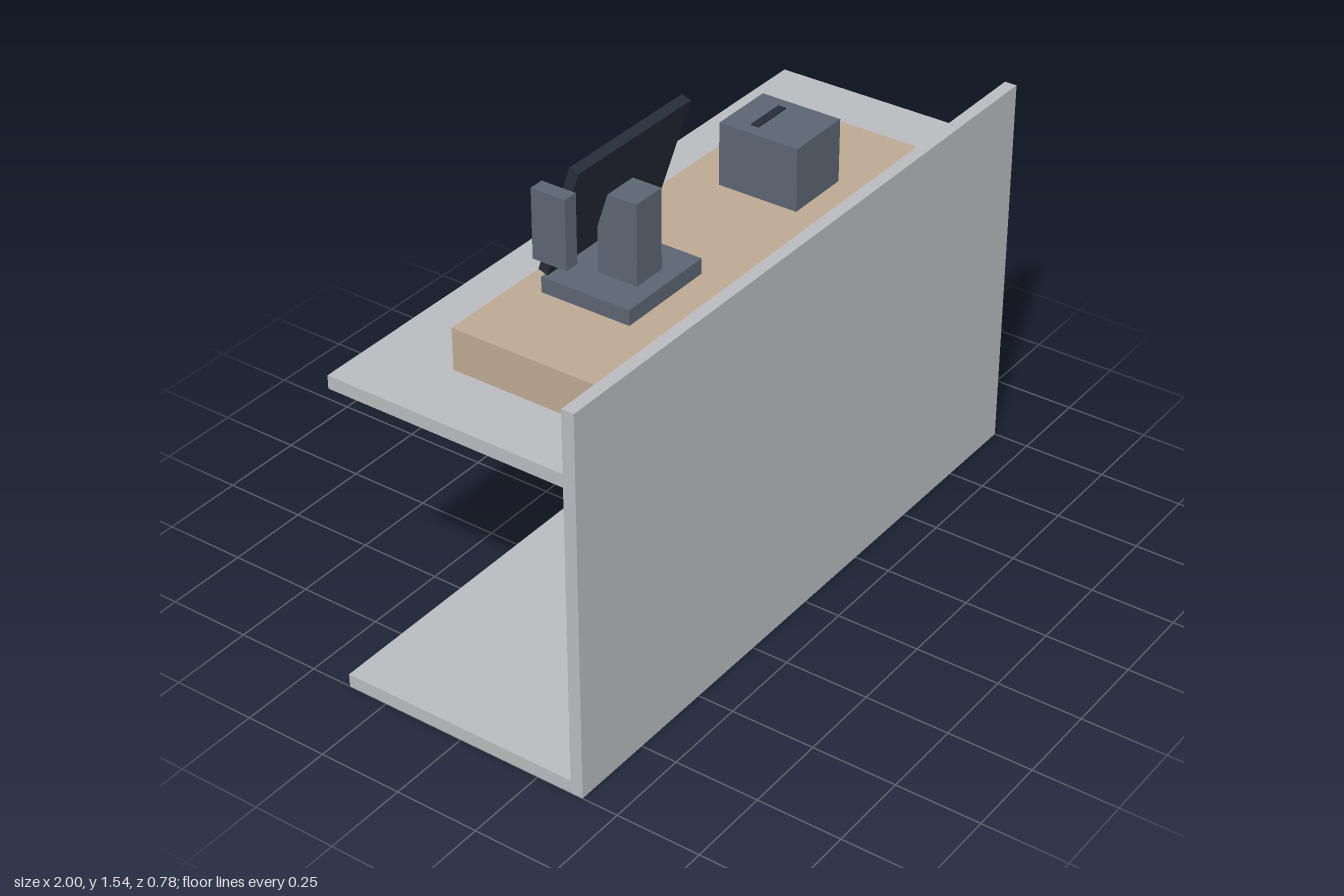
import * as THREE from 'three';

const mat = (name, color) => {
  const m = new THREE.MeshStandardMaterial({ color });
  m.name = name;
  return m;
};

export function createModel() {
  const root = new THREE.Group();
  root.name = 'receptionDesk';
  const grey = mat('panelGrey', 0xbabbbe);
  const wood = mat('lightWood', 0xbda992);
  const slate = mat('slate', 0x5b6673);
  const dark = mat('darkScreen', 0x272d39);

  // Box given by its extents along x, y and z
  const box = (name, material, [x0, x1], [y0, y1], [z0, z1], parent = root) => {
    const mesh = new THREE.Mesh(new THREE.BoxGeometry(x1 - x0, y1 - y0, z1 - z0), material);
    mesh.position.set((x0 + x1) / 2, (y0 + y1) / 2, (z0 + z1) / 2);
    mesh.name = name;
    parent.add(mesh);
    return mesh;
  };
  const group = (name) => {
    const g = new THREE.Group();
    g.name = name;
    root.add(g);
    return g;
  };

  // Desk body, open at the back and on one side
  const full = [-1, 1], back = -0.374, front = 0.392, inner = 0.355;
  const body = group('deskBody');
  box('basePanel', grey, full, [0, 0.04], [back, front], body);
  box('deskTop', grey, full, [0.933, 0.972], [back, front], body);
  box('frontPanel', grey, full, [0.04, 0.933], [inner, front], body);
  box('counterScreen', grey, full, [0.972, 1.155], [inner, front], body);
  box('sidePanel', grey, [0.963, 1], [0.04, 0.933], [back, inner], body);
  box('partition', grey, [0.3, 0.337], [0.04, 0.933], [back, inner], body);

  // Drawer unit
  const drawers = group('drawerUnit');
  box('drawerCarcass', wood, [0.337, 0.963], [0.04, 0.933], [-0.355, inner], drawers);
  const pitch = 0.893 / 3;
  for (let i = 0; i < 3; i++) {
    const y = 0.04 + pitch * (i + 0.5);
    box('drawerFront', wood, [0.355, 0.955], [y - 0.143, y + 0.143], [back, -0.355], drawers);
    box('drawerHandle', grey, [0.577, 0.727], [y - 0.014, y + 0.014], [-0.392, back], drawers);
  }

  // Raised shelf on the desk top
  const riser = group('riserShelf');
  box('riserTop', wood, [-0.8, 0.64], [1.072, 1.094], [-0.138, inner], riser);
  box('riserLeg', wood, [-0.8, -0.77], [0.972, 1.072], [-0.138, inner], riser);
  box('riserLeg', wood, [0.61, 0.64], [0.972, 1.072], [-0.138, inner], riser);

  // Receipt printer with paper slot
  const printer = group('receiptPrinter');
  box('printerBody', slate, [0.16, 0.36], [1.094, 1.28], [-0.015, 0.23], printer);
  box('printerSlot', dark, [0.197, 0.323], [1.279, 1.284], [0.06, 0.084], printer);

  // Tilted monitor with stand and card reader
  const monitor = group('monitor');
  box('monitorBase', slate, [-0.54, -0.235], [1.094, 1.139], [-0.062, 0.21], monitor);
  box('monitorStand', slate, [-0.44, -0.336], [1.139, 1.372], [0.04, 0.16], monitor);
  const screen = box('monitorScreen', dark, [-0.617, -0.16], [1.206, 1.539], [0.043, 0.072], monitor);
  screen.rotation.x = THREE.MathUtils.degToRad(18);
  box('cardReader', slate, [-0.66, -0.617], [1.275, 1.472], [0.01, 0.113], monitor);

  return root;
}
